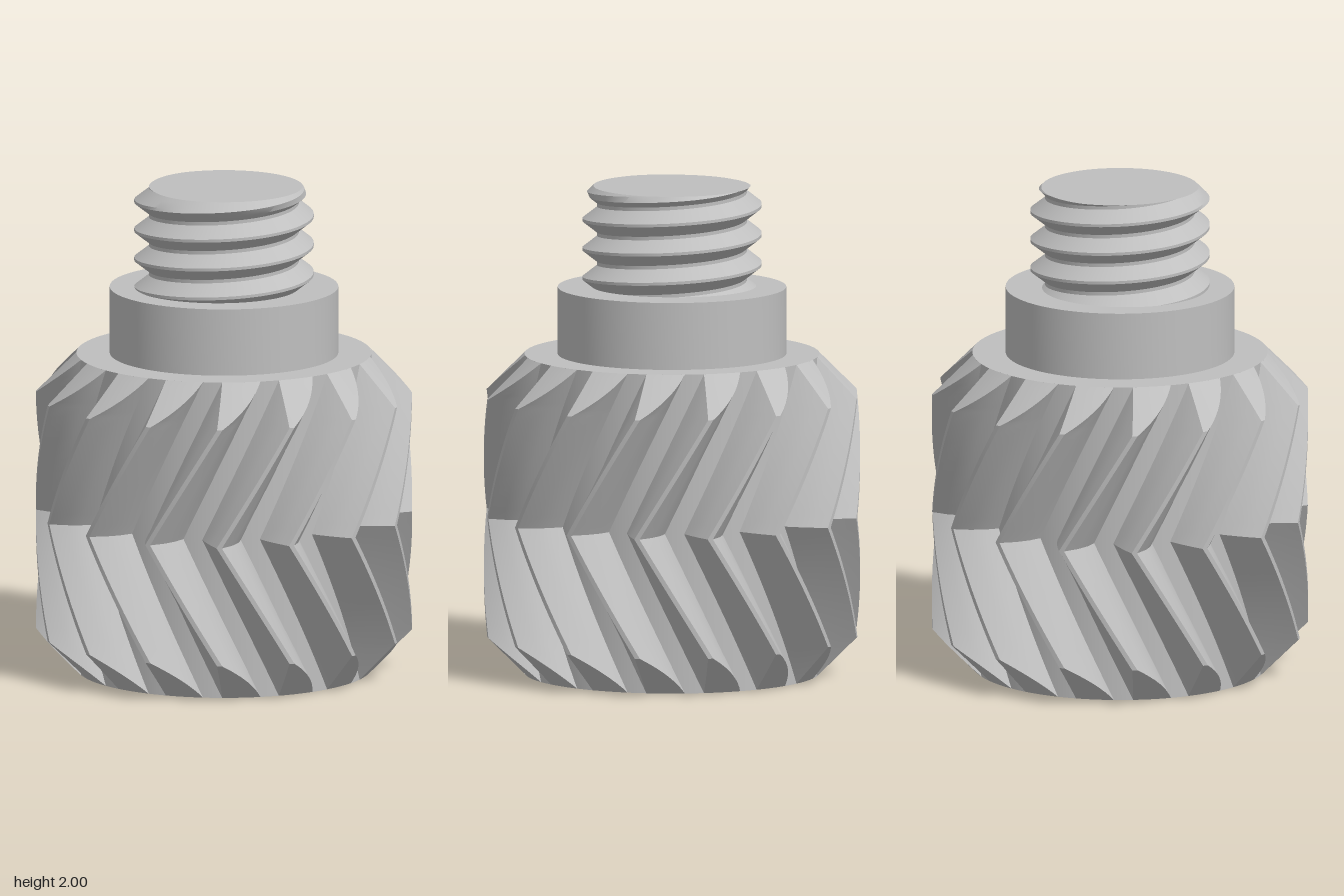
import * as THREE from 'three';
import { toCreasedNormals } from 'three/addons/utils/BufferGeometryUtils.js';

const RAD = Math.PI / 180;
const ROOT = 0.6, TIP = 0.765, HEIGHT = 1.31, MID = HEIGHT / 2;
const COLLAR_TOP = 1.585, TOP = 2, PITCH = 0.12;
const TEETH = 16, TWIST = 46.2; // degrees per unit of height

const lerp = THREE.MathUtils.lerp;

// Point at radius r, angle in degrees (0 is the front, 90 the left side)
function polar(r, deg, y) {
  return new THREE.Vector3(r * Math.sin(deg * RAD), y, r * Math.cos(deg * RAD));
}

// Surface from a grid of points: columns run round the axis, rows run upwards
function gridSurface(cols, rows, point) {
  const out = [];
  const tri = new THREE.Triangle();
  const add = (a, b, c) => {
    tri.set(a, b, c);
    if (tri.getArea() > 1e-8) out.push(...a.toArray(), ...b.toArray(), ...c.toArray());
  };
  for (let j = 0; j < rows; j++) {
    for (let i = 0; i < cols; i++) {
      const a = point(i, j), b = point(i + 1, j), c = point(i + 1, j + 1), d = point(i, j + 1);
      add(a, b, c);
      add(a, c, d);
    }
  }
  const geo = new THREE.BufferGeometry();
  geo.setAttribute('position', new THREE.Float32BufferAttribute(out, 3));
  geo.computeVertexNormals();
  return toCreasedNormals(geo, 0.5);
}

// Tooth flanks: angle from the tooth centre at depth t (0 root, 1 tip)
const lowFlank = (t) => lerp(-7, -0.8, t);
const highFlank = (t) => lerp(8, 0.8, t) + 4.4 * t * (1 - t);

// One herringbone tooth, bevelled at both ends
function toothGeometry() {
  const bevel = TIP - ROOT;
  const levels = [];
  for (let k = 0; k < 8; k++) levels.push(bevel * k / 8);
  for (let k = 0; k <= 10; k++) levels.push(lerp(bevel, MID, k / 10));
  for (let k = levels.length - 2; k >= 0; k--) levels.push(HEIGHT - levels[k]);

  return gridSurface(10, levels.length - 1, (i, j) => {
    const y = levels[j];
    const t = Math.min(1, Math.min(y, HEIGHT - y) / bevel);
    const twist = TWIST * Math.abs(y - MID);
    // columns 0-3 climb the low flank, 3-7 cross the land, 7-10 descend the high flank
    if (i < 3) return polar(ROOT + bevel * t * i / 3, lowFlank(t * i / 3) + twist, y);
    if (i > 7) {
      const s = t * (10 - i) / 3;
      return polar(ROOT + bevel * s, highFlank(s) + twist, y);
    }
    return polar(ROOT + bevel * t, lerp(lowFlank(t), highFlank(t), (i - 3) / 4) + twist, y);
  });
}

// Single-start V thread with narrow crests and a chamfered top
function threadGeometry() {
  const segments = 96;
  const crestAt = (deg) => 1.95 + PITCH * (deg + 90) / 360;
  const radiusAt = (deg, y) => {
    const p = (y - crestAt(deg)) / PITCH;
    const d = Math.abs(p - Math.round(p));
    const r = lerp(0.365, 0.305, THREE.MathUtils.clamp((d - 0.05) / 0.39, 0, 1));
    return Math.min(r, 0.32 + TOP - y);
  };
  const offsets = [];
  for (let turn = -5; turn <= 2; turn++) {
    for (const o of [-0.44, -0.25, -0.05, 0.05, 0.25, 0.44]) offsets.push((turn + o) * PITCH);
  }
  return gridSurface(segments, offsets.length, (i, j) => {
    const deg = 360 * i / segments;
    if (j === offsets.length) return new THREE.Vector3(0, TOP, 0);
    const y = THREE.MathUtils.clamp(crestAt(deg) + offsets[j], COLLAR_TOP - 0.005, TOP);
    return polar(radiusAt(deg, y), deg, y);
  });
}

export function createModel() {
  const model = new THREE.Group();
  model.name = 'threadedMillingCutter';
  const steel = new THREE.MeshStandardMaterial({ color: 0xbfbfbf });
  steel.name = 'steel grey';

  const add = (name, geometry, parent = model) => {
    const mesh = new THREE.Mesh(geometry, steel);
    mesh.name = name;
    parent.add(mesh);
    return mesh;
  };

  // Turned core with collar above and countersunk bore below
  const profile = [
    [0, 0.7], [0.257, 0.7], [0.257, 0.058], [0.315, 0], [ROOT, 0],
    [ROOT, HEIGHT], [0.465, HEIGHT], [0.465, COLLAR_TOP], [0, COLLAR_TOP],
  ].map(([r, y]) => new THREE.Vector2(r, y));
  add('coreAndCollar', toCreasedNormals(new THREE.LatheGeometry(profile, 96), 0.5));

  // Ring of cutting teeth
  const teeth = new THREE.Group();
  teeth.name = 'cuttingTeeth';
  model.add(teeth);
  const tooth = toothGeometry();
  for (let k = 0; k < TEETH; k++) {
    add('tooth' + (k + 1), tooth, teeth).rotation.y = (-8.8 + 360 * k / TEETH) * RAD;
  }

  // Threaded shank
  add('threadedShank', threadGeometry());

  return model;
}
